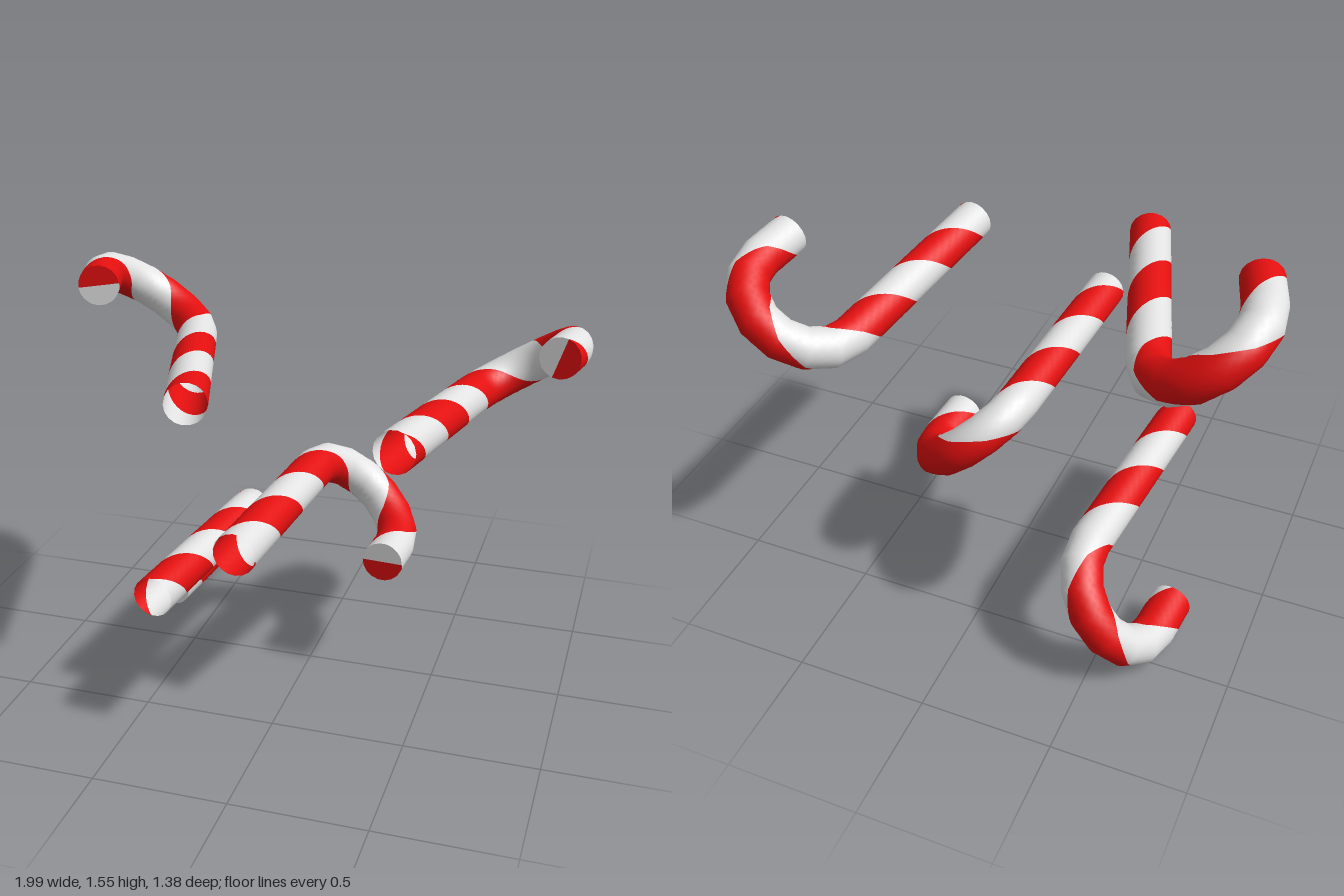
import * as THREE from 'three';

const RADIUS = 0.078;        // tube radius
const HOOK = 0.217;          // hook bend radius
const SHAFT = 0.835;         // long straight length
const TIP = 0.165;           // short straight length
const BENDS = 7;             // straight pieces in the hook
const SIDES = 9;             // sides per stripe (half the tube)
const rad = THREE.MathUtils.degToRad;

// Stations along the cane (local: shaft up +y, hook towards +x).
// Each has a centre, the inward direction and the twist of the stripes.
function makeStations() {
  const list = [];
  const add = (x, y, nx, ny, twist) => list.push({ x, y, nx, ny, twist: rad(twist) });
  const twist0 = -123, twist1 = twist0 + 640, twist2 = twist1 + 385, twist3 = twist2 + 128;
  const lerp = THREE.MathUtils.lerp;

  for (let i = 0; i < 48; i++) {
    const t = i / 48;
    add(0, SHAFT * t, 1, 0, lerp(twist0, twist1, t));
  }
  const steps = 5;
  for (let k = 0; k < BENDS; k++) {
    const a = Math.PI * k / BENDS, b = Math.PI * (k + 1) / BENDS;
    for (let i = 0; i < steps; i++) {
      const f = i / steps;
      const c = lerp(Math.cos(a), Math.cos(b), f), s = lerp(Math.sin(a), Math.sin(b), f);
      add(HOOK - HOOK * c, SHAFT + HOOK * s, c, -s, lerp(twist1, twist2, (k + f) / BENDS));
    }
  }
  for (let i = 0; i <= 10; i++) {
    const t = i / 10;
    add(2 * HOOK, SHAFT - TIP * t, -1, 0, lerp(twist2, twist3, t));
  }
  return list;
}

// One helical half of the tube; offset turns it around the tube, the tip gets a half-disc
function stripeGeometry(stations, offset) {
  const pos = [], nor = [], idx = [];
  const row = SIDES + 1;
  const ringPoint = (st, j) => {
    const a = st.twist + offset - Math.PI / 2 + Math.PI * j / SIDES;
    const c = Math.cos(a), s = Math.sin(a);
    return [st.nx * c, st.ny * c, -s];
  };
  const push = (st, d, n) => {
    pos.push(st.x + d[0] * RADIUS, st.y + d[1] * RADIUS, d[2] * RADIUS);
    nor.push(...n);
  };
  stations.forEach((st, i) => {
    for (let j = 0; j < row; j++) {
      const d = ringPoint(st, j);
      push(st, d, new THREE.Vector3(...d).normalize().toArray());
      if (i < stations.length - 1 && j < SIDES) {
        const a = i * row + j, b = a + 1, c = a + row, e = c + 1;
        idx.push(a, b, c, b, e, c);
      }
    }
  });
  // closed hook end
  const last = stations[stations.length - 1];
  const centre = pos.length / 3;
  push(last, [0, 0, 0], [0, -1, 0]);
  for (let j = 0; j < row; j++) push(last, ringPoint(last, j), [0, -1, 0]);
  for (let j = 0; j < SIDES; j++) idx.push(centre, centre + 1 + j, centre + 2 + j);

  const g = new THREE.BufferGeometry();
  g.setAttribute('position', new THREE.Float32BufferAttribute(pos, 3));
  g.setAttribute('normal', new THREE.Float32BufferAttribute(nor, 3));
  g.setIndex(idx);
  return g;
}

export function createModel() {
  const model = new THREE.Group();
  model.name = 'candyCanes';
  const white = new THREE.MeshStandardMaterial({ color: 0xe2e2e2, side: THREE.DoubleSide });
  white.name = 'sugar white';
  const red = new THREE.MeshStandardMaterial({ color: 0xe30f0f, side: THREE.DoubleSide });
  red.name = 'candy red';

  const stations = makeStations();
  const whiteStripe = stripeGeometry(stations, 0);
  const redStripe = stripeGeometry(stations, Math.PI);

  // Each cane: open shaft end, shaft direction, hook tip
  const canes = [
    ['upperRightCane', [-0.303, 1.247, 0.485], [-0.31, -0.015, -0.95], [-0.855, 1.48, -0.04]],
    ['upperLeftCane', [0.43, 1.147, 0.465], [0.14, -0.09, -0.985], [0.89, 1.315, -0.168]],
    ['middleCane', [-0.065, 0.802, 0.69], [0.054, -0.018, -1], [0.30, 0.508, 0.043]],
    ['lowerCane', [-0.485, 0.44, 0.44], [0.09, -0.015, -1], [-0.70, 0.088, -0.235]],
  ];
  for (const [name, end, dir, tip] of canes) {
    const cane = new THREE.Group();
    cane.name = name;
    const e = new THREE.Vector3(...end);
    const u = new THREE.Vector3(...dir).normalize();
    const v = new THREE.Vector3(...tip).sub(e);
    v.addScaledVector(u, -v.dot(u)).normalize();
    const w = new THREE.Vector3().crossVectors(v, u);
    cane.quaternion.setFromRotationMatrix(new THREE.Matrix4().makeBasis(v, u, w));
    cane.position.copy(e);

    const whiteMesh = new THREE.Mesh(whiteStripe, white);
    whiteMesh.name = 'whiteStripe';
    const redMesh = new THREE.Mesh(redStripe, red);
    redMesh.name = 'redStripe';
    cane.add(whiteMesh, redMesh);
    model.add(cane);
  }
  return model;
}
